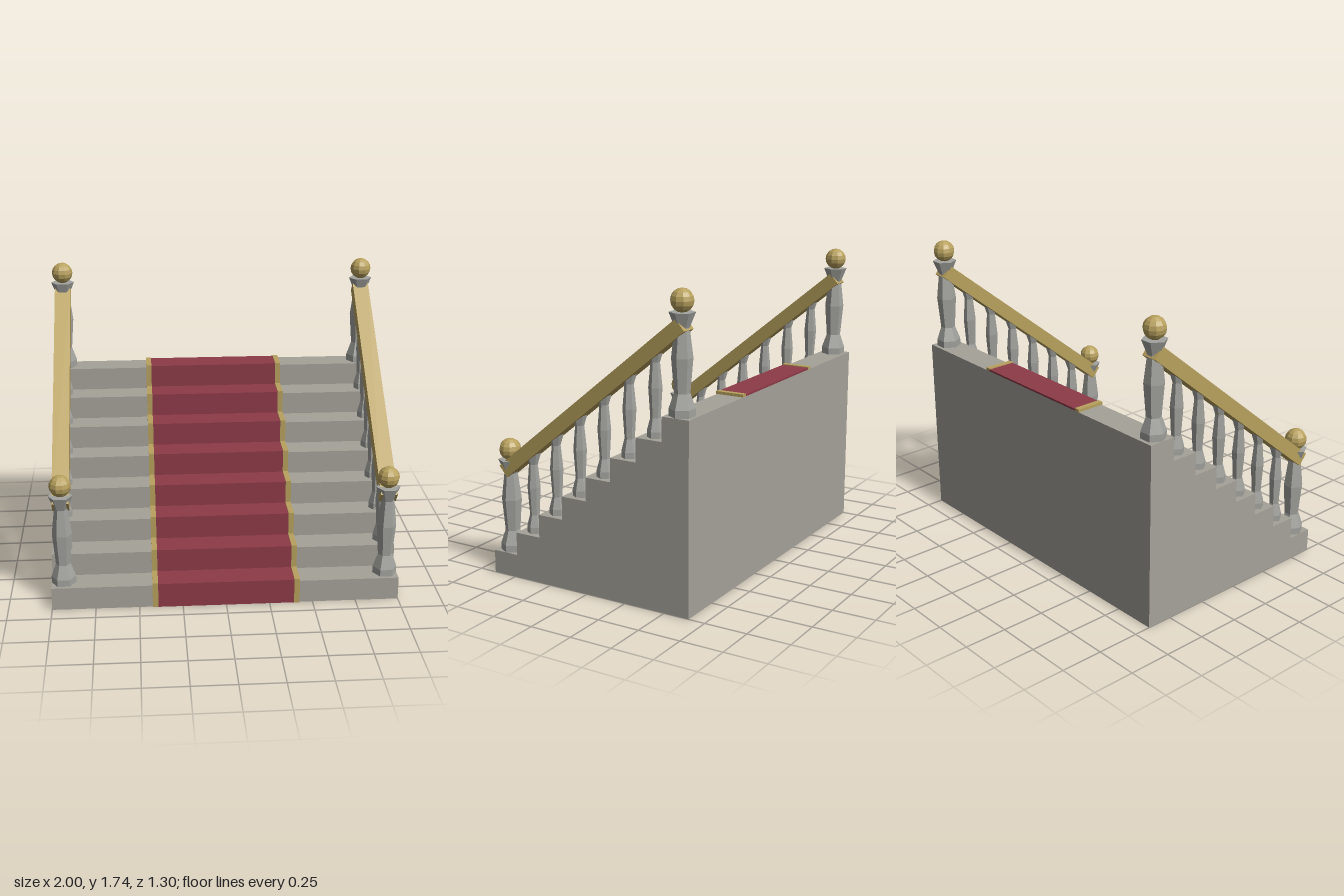
import * as THREE from 'three';

const STEPS = 8, RISE = 0.135, RUN = 0.162, FRONT = 0.644;
const BACK = FRONT - STEPS * RUN;
const RAIL_X = 0.93;

const material = (name, color) => {
  const m = new THREE.MeshStandardMaterial({ color });
  m.name = name;
  return m;
};

// Zigzag of the steps as (z, y) points, pushed out by dz and dy
function stepLine(dz, dy) {
  const pts = [new THREE.Vector2(FRONT + dz, 0)];
  for (let i = 0; i < STEPS; i++) {
    const y = RISE * (i + 1) + dy;
    pts.push(new THREE.Vector2(FRONT - RUN * i + dz, y));
    pts.push(new THREE.Vector2(i === STEPS - 1 ? BACK : FRONT - RUN * (i + 1) + dz, y));
  }
  return pts;
}

// Side profile extruded across x, centred on x = 0
function acrossX(points, width) {
  const geo = new THREE.ExtrudeGeometry(new THREE.Shape(points), { depth: width, bevelEnabled: false });
  return geo.translate(0, 0, -width / 2).rotateY(-Math.PI / 2);
}

// Six-sided turned post: [radius, height] pairs with flat facets
function postGeometry(profile, sr, sy) {
  const pts = profile.map(([r, y]) => new THREE.Vector2(r * sr, y * sy));
  const geo = new THREE.LatheGeometry(pts, 6, Math.PI / 6).toNonIndexed();
  geo.computeVertexNormals();
  return geo;
}

export function createModel() {
  const model = new THREE.Group();
  model.name = 'staircase';

  const stone = material('stone', 0xa5a299);
  const postStone = material('post stone', 0xa3a39f);
  const gold = material('gold', 0xb8a15e);
  const carpetRed = material('carpet red', 0x8c3a47);
  for (const m of [postStone, gold]) m.flatShading = true;

  const add = (parent, name, geo, mat, x = 0, y = 0, z = 0) => {
    const mesh = new THREE.Mesh(geo, mat);
    mesh.name = name;
    mesh.position.set(x, y, z);
    parent.add(mesh);
    return mesh;
  };

  // Solid flight of steps
  add(model, 'steps', acrossX([...stepLine(0, 0), new THREE.Vector2(BACK, 0)], 2), stone);

  // Carpet runner and its raised edging
  const strip = (dz, dy) => [...stepLine(dz, dy), ...stepLine(0, 0).reverse()];
  add(model, 'carpet', acrossX(strip(0.006, 0.011), 0.785), carpetRed);
  for (const s of [-1, 1]) {
    add(model, 'carpetEdging', acrossX(strip(0.008, 0.016), 0.032), gold, s * 0.408);
  }

  // Shared post shapes
  const profile = [
    [0, 0], [0.07, 0], [0.07, 0.04], [0.042, 0.12], [0.057, 0.305],
    [0.038, 0.46], [0.07, 0.54], [0, 0.54],
  ];
  const newelGeo = postGeometry(profile, 1, 1);
  const balusterGeo = postGeometry(profile, 0.65, 0.87);
  const ballGeo = new THREE.SphereGeometry(0.063, 10, 8);

  // Handrail runs between these (z, y) end points
  const low = new THREE.Vector2(0.58, 0.611), high = new THREE.Vector2(-0.585, 1.56);
  const railGeo = new THREE.BoxGeometry(0.096, 0.08, low.distanceTo(high));
  const tilt = Math.atan2(high.y - low.y, low.x - high.x);

  for (const s of [-1, 1]) {
    const side = new THREE.Group();
    side.name = s > 0 ? 'leftBalustrade' : 'rightBalustrade';
    model.add(side);
    for (let i = 0; i < STEPS; i++) {
      const y = RISE * (i + 1), z = FRONT - RUN * (i + 0.5);
      const isNewel = i === 0 || i === STEPS - 1;
      add(side, isNewel ? 'newelPost' : 'baluster', isNewel ? newelGeo : balusterGeo, postStone, s * RAIL_X, y, z);
      if (isNewel) add(side, 'ballFinial', ballGeo, gold, s * RAIL_X, y + 0.599, z);
    }
    const rail = add(side, 'handrail', railGeo, gold, s * RAIL_X, (low.y + high.y) / 2, (low.x + high.x) / 2);
    rail.rotation.x = tilt;
  }
  return model;
}
